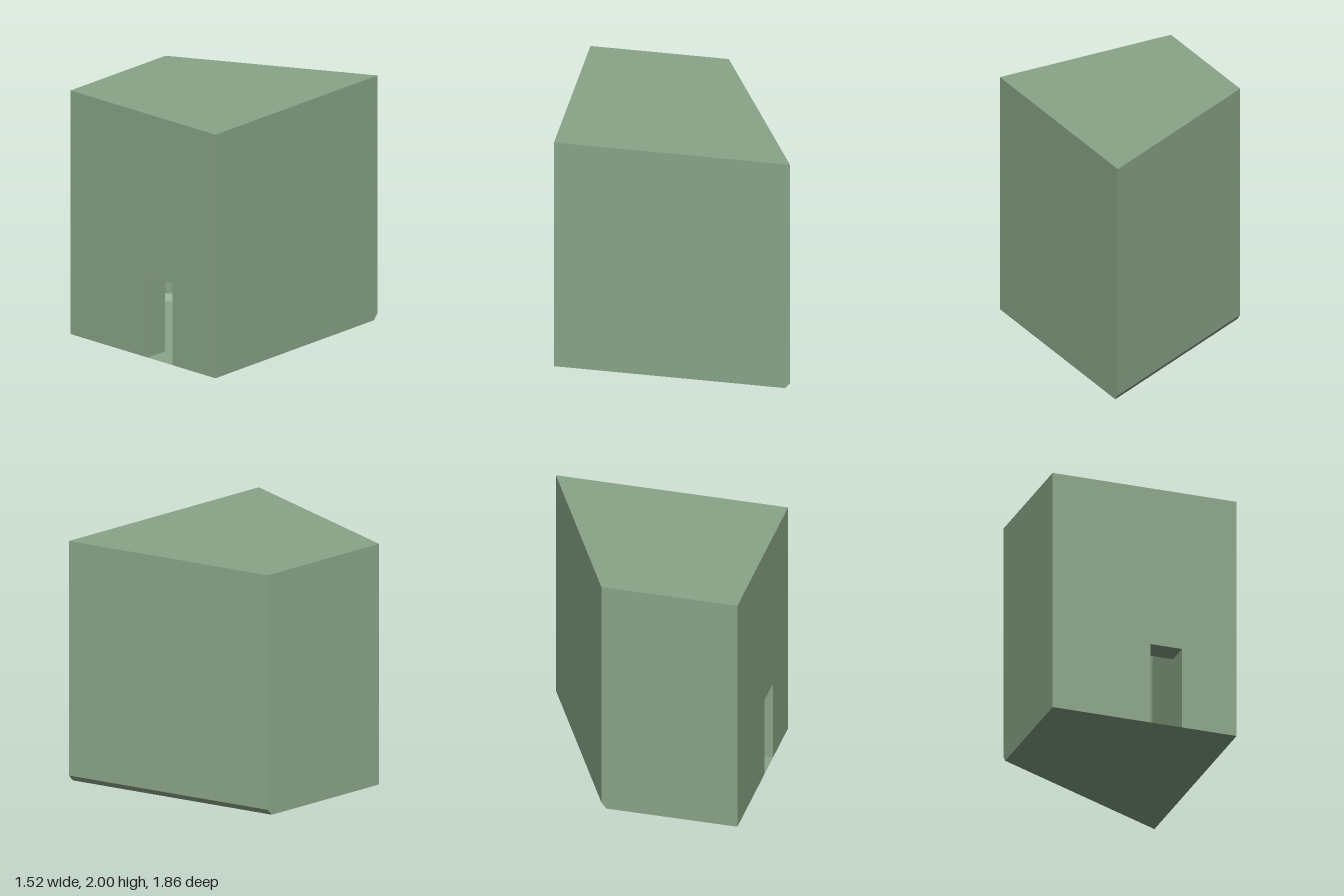
import * as THREE from 'three';

const W = 0.76, H = 2, FRONT = 0.93, WALL = 0.2;
const DOOR = { left: 0.05, right: 0.31, top: 0.67 };

const material = new THREE.MeshStandardMaterial({ color: 0x8aa588, flatShading: true, side: THREE.DoubleSide });

// Flat polygon panel from corners listed anticlockwise seen from outside
function panel(name, corners) {
  const positions = [];
  for (let i = 1; i < corners.length - 1; i++) positions.push(...corners[0], ...corners[i], ...corners[i + 1]);
  const geometry = new THREE.BufferGeometry();
  geometry.setAttribute('position', new THREE.Float32BufferAttribute(positions, 3));
  geometry.computeVertexNormals();
  const mesh = new THREE.Mesh(geometry, material);
  mesh.name = name;
  return mesh;
}

export function createModel() {
  const group = new THREE.Group();
  group.name = 'slantedRoom';

  // Thick front wall with a doorway cut up from the ground
  const outline = new THREE.Shape([
    [-W, 0], [DOOR.left, 0], [DOOR.left, DOOR.top], [DOOR.right, DOOR.top],
    [DOOR.right, 0], [W, 0], [W, H], [-W, H],
  ].map(([x, y]) => new THREE.Vector2(x, y)));
  const wallGeometry = new THREE.ExtrudeGeometry(outline, { depth: WALL, bevelEnabled: false });
  wallGeometry.translate(0, 0, FRONT - WALL);
  const frontWall = new THREE.Mesh(wallGeometry, material);
  frontWall.name = 'frontWall';
  group.add(frontWall);

  // Hollow room behind it: the slanted back is chamfered along the ground
  const start = FRONT - WALL;
  const ring = (y, inset) => [
    [W, y, start], [W, y, -0.93 + inset], [-W, y, -0.16 + inset], [-W, y, start],
  ];
  const rings = [ring(0, 0.04), ring(0.05, 0), ring(H, 0)];
  const names = ['rightSide', 'back', 'leftSide'];
  for (let r = 0; r < 2; r++) {
    for (let i = 0; i < 3; i++) {
      const [low, high] = [rings[r], rings[r + 1]];
      group.add(panel(names[i] + (r ? 'Wall' : 'Base'), [low[i], low[i + 1], high[i + 1], high[i]]));
    }
  }
  group.add(panel('roof', rings[2]));
  group.add(panel('floor', [...rings[0]].reverse()));

  // Threshold under the doorway
  group.add(panel('threshold', [
    [DOOR.left, 0, start], [DOOR.right, 0, start], [DOOR.right, 0, FRONT], [DOOR.left, 0, FRONT],
  ]));

  return group;
}
